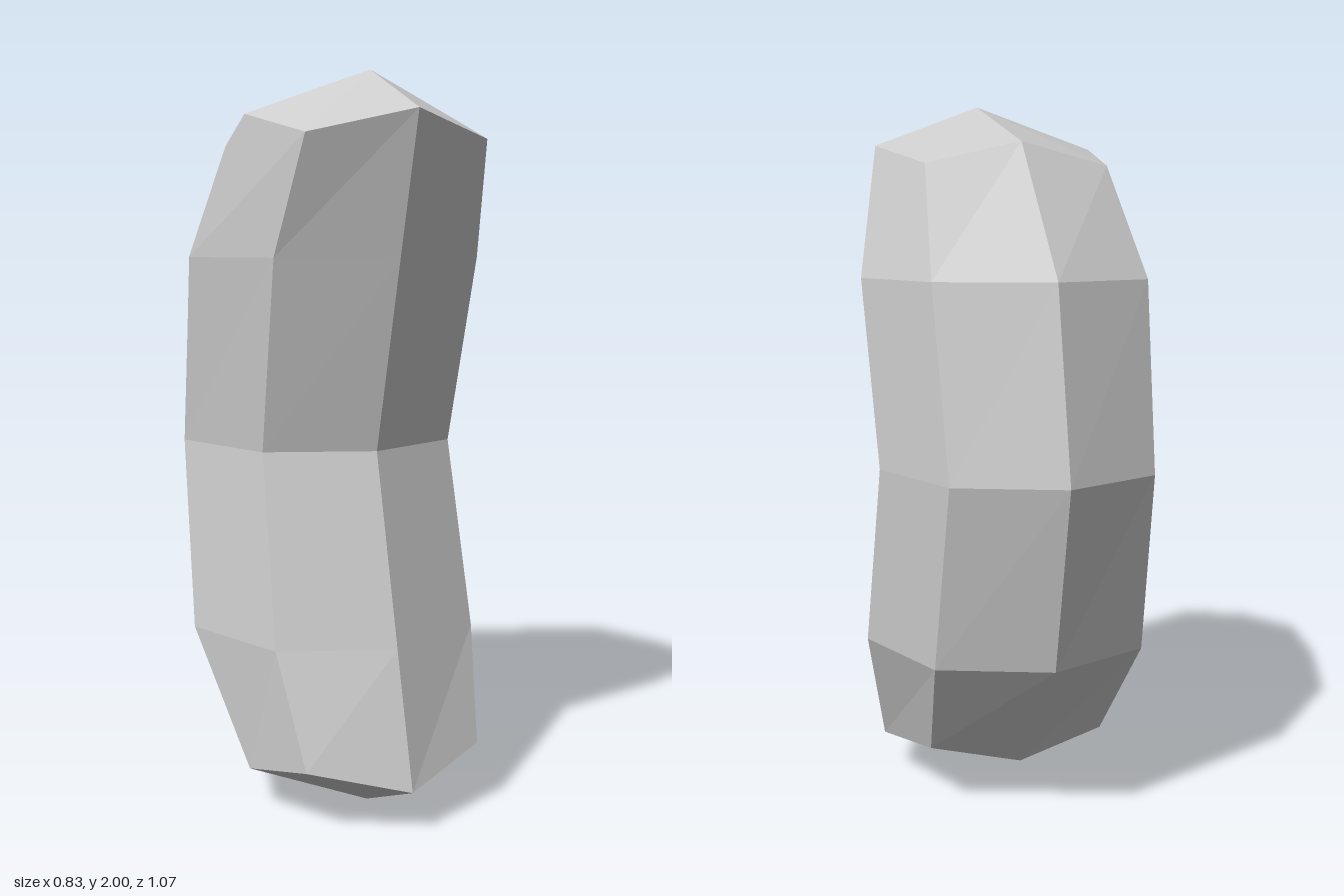
import * as THREE from 'three';

// Eight-sided ring, starting at the front and running towards +x.
// front/back and side points are the edge middles, corners lie between them.
function ring({ front, frontCorner, side, backCorner, back }) {
  const right = [frontCorner, side, backCorner];
  const left = [...right].reverse().map(([x, y, z]) => [-x, y, z]);
  return [front, ...right, back, ...left];
}

// Level ring of the body at height y
const bodyRing = (y, zs, cornerX, sideX) => ring({
  front: [0, y, zs[0]],
  frontCorner: [cornerX, y, zs[1]],
  side: [sideX, y, zs[2]],
  backCorner: [cornerX, y, zs[3]],
  back: [0, y, zs[4]],
});

const mirrorY = (points) => points.map(([x, y, z]) => [x, 2 - y, z]);

export function createModel() {
  const group = new THREE.Group();

  // Upper half, mirrored to make the lower half
  const middle = bodyRing(1, [0.32, 0.208, -0.105, -0.415, -0.535], 0.285, 0.395);
  const shoulder = bodyRing(1.515, [0.445, 0.325, 0.01, -0.313, -0.432], 0.3, 0.413);
  const rim = ring({
    front: [0, 1.88, 0.535],
    frontCorner: [0.26, 1.82, 0.432],
    side: [0.325, 1.88, 0.198],
    backCorner: [0.26, 1.82, -0.11],
    back: [0, 1.88, -0.14],
  });
  const rings = [mirrorY(rim), mirrorY(shoulder), middle, shoulder, rim];
  const top = [0, 2, 0.27];
  const bottom = [0, 0, 0.27];

  const positions = [];
  const quad = (a, b, c, d) => positions.push(...a, ...b, ...c, ...a, ...c, ...d);

  // Walls between neighbouring rings
  for (let i = 0; i < rings.length - 1; i++) {
    for (let k = 0; k < 8; k++) {
      const n = (k + 1) % 8;
      quad(rings[i][k], rings[i][n], rings[i + 1][n], rings[i + 1][k]);
    }
  }

  // Four-faced caps around each end point
  const lowRim = rings[0];
  for (let k = 1; k < 8; k += 2) {
    const n = (k + 1) % 8;
    quad(top, rim[k - 1], rim[k], rim[n]);
    quad(bottom, lowRim[n], lowRim[k], lowRim[k - 1]);
  }

  const geometry = new THREE.BufferGeometry();
  geometry.setAttribute('position', new THREE.Float32BufferAttribute(positions, 3));
  geometry.computeVertexNormals();

  const bean = new THREE.Mesh(
    geometry,
    new THREE.MeshStandardMaterial({ color: 0xcccccc, flatShading: true })
  );
  bean.name = 'beanBody';
  group.add(bean);
  return group;
}
